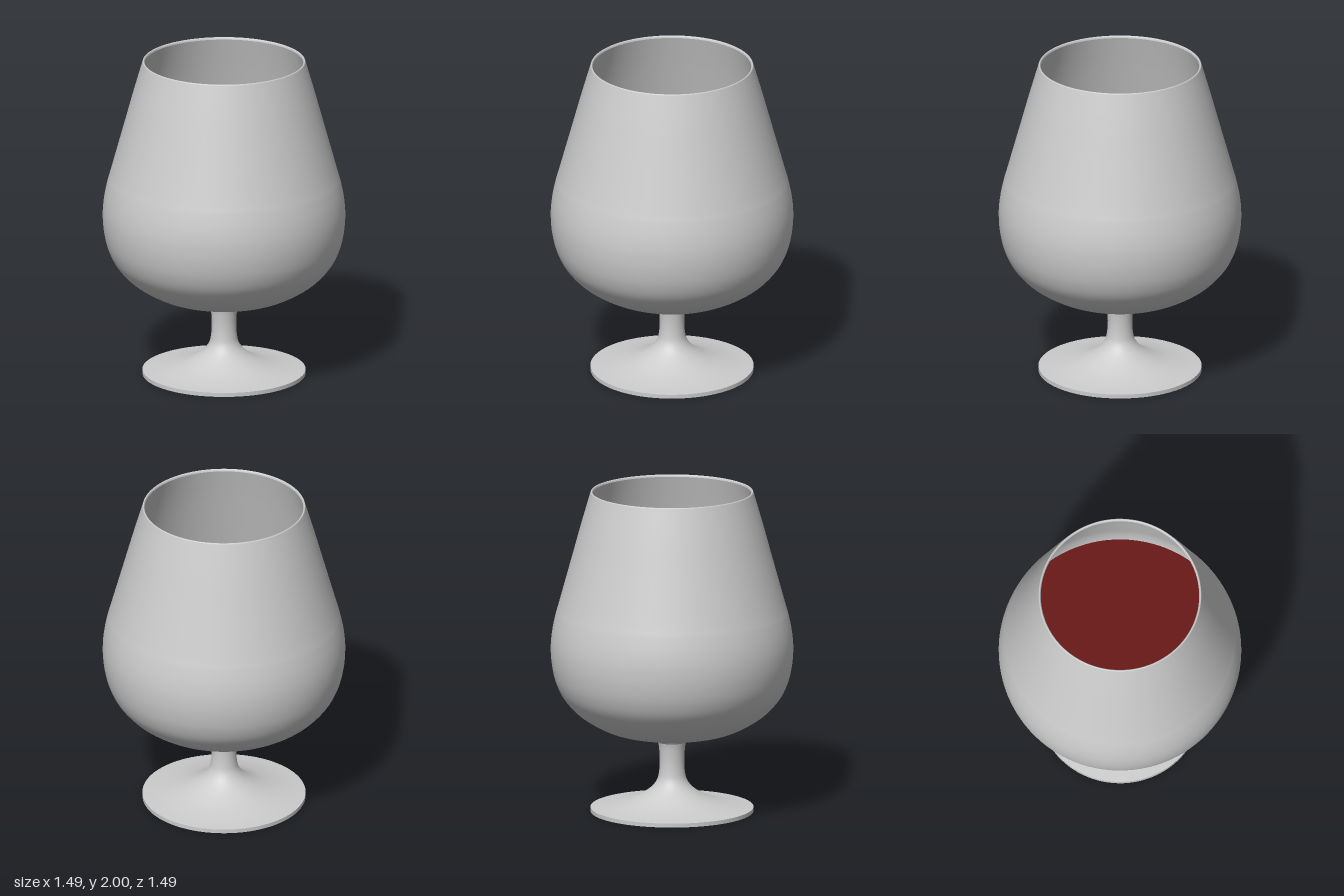
import * as THREE from 'three';
import { mergeGeometries } from 'three/addons/utils/BufferGeometryUtils.js';

const SIDES = 96;
const vectors = (pairs) => pairs.map(([x, y]) => new THREE.Vector2(x, y));
const smooth = (pairs, n) => new THREE.SplineCurve(vectors(pairs)).getPoints(n);

// Turns several profiles around y; each profile is smooth, joints between them stay sharp
function turned(name, color, profiles) {
  const parts = profiles.map((points) => new THREE.LatheGeometry(points, SIDES));
  const material = new THREE.MeshStandardMaterial({ color });
  const mesh = new THREE.Mesh(mergeGeometries(parts), material);
  mesh.name = name;
  return mesh;
}

// Moves a bowl profile inwards along its normals by the wall thickness
function inset(points, distance) {
  return points.map((p, i) => {
    const a = points[Math.max(i - 1, 0)];
    const b = points[Math.min(i + 1, points.length - 1)];
    const t = b.clone().sub(a).normalize();
    return new THREE.Vector2(Math.max(0, p.x - t.y * distance), p.y + t.x * distance);
  });
}

export function createModel() {
  const group = new THREE.Group();
  group.name = 'brandyGlass';
  const grey = 0xcccccc;

  // Foot: flat underside, thin rim, flared top running up into the stem
  group.add(turned('footAndStem', grey, [
    vectors([[0, 0], [0.5, 0]]),
    vectors([[0.5, 0], [0.5, 0.025]]),
    smooth([[0.5, 0.025], [0.4, 0.037], [0.29, 0.062], [0.2, 0.098], [0.13, 0.145],
      [0.092, 0.195], [0.079, 0.25], [0.075, 0.32], [0.079, 0.39], [0.086, 0.432]], 48),
  ]));

  // Collar between stem and bowl
  group.add(turned('collar', grey, [
    smooth([[0.084, 0.43], [0.098, 0.44], [0.103, 0.452], [0.1, 0.465], [0.095, 0.48]], 12),
  ]));

  // Bowl: outer wall, rounded lip and inner wall
  const wall = 0.016;
  const outer = smooth([[0, 0.475], [0.12, 0.475], [0.25, 0.481], [0.4, 0.514], [0.555, 0.6],
    [0.655, 0.7], [0.708, 0.8], [0.735, 0.91], [0.743, 1.02], [0.735, 1.12],
    [0.715, 1.22], [0.69, 1.31], [0.61, 1.6], [0.555, 1.8], [0.5, 1.99]], 96);
  const inner = inset(outer, wall);
  const start = outer[outer.length - 1];
  const end = inner[inner.length - 1];
  const lip = new THREE.CubicBezierCurve(start, new THREE.Vector2(start.x - 0.002, 2.003),
    new THREE.Vector2(end.x + 0.002, 2.003), end).getPoints(8);
  group.add(turned('bowl', grey, [outer, lip, inner.slice().reverse()]));

  // Dark red drink filling the lower half of the bowl
  const level = 1.0;
  const side = inset(outer, wall + 0.001).filter((p) => p.y < level);
  const edge = new THREE.Vector2(side[side.length - 1].x, level);
  group.add(turned('drink', 0x66100f, [
    [...side, edge],
    [edge, new THREE.Vector2(0, level)],
  ]));

  return group;
}
